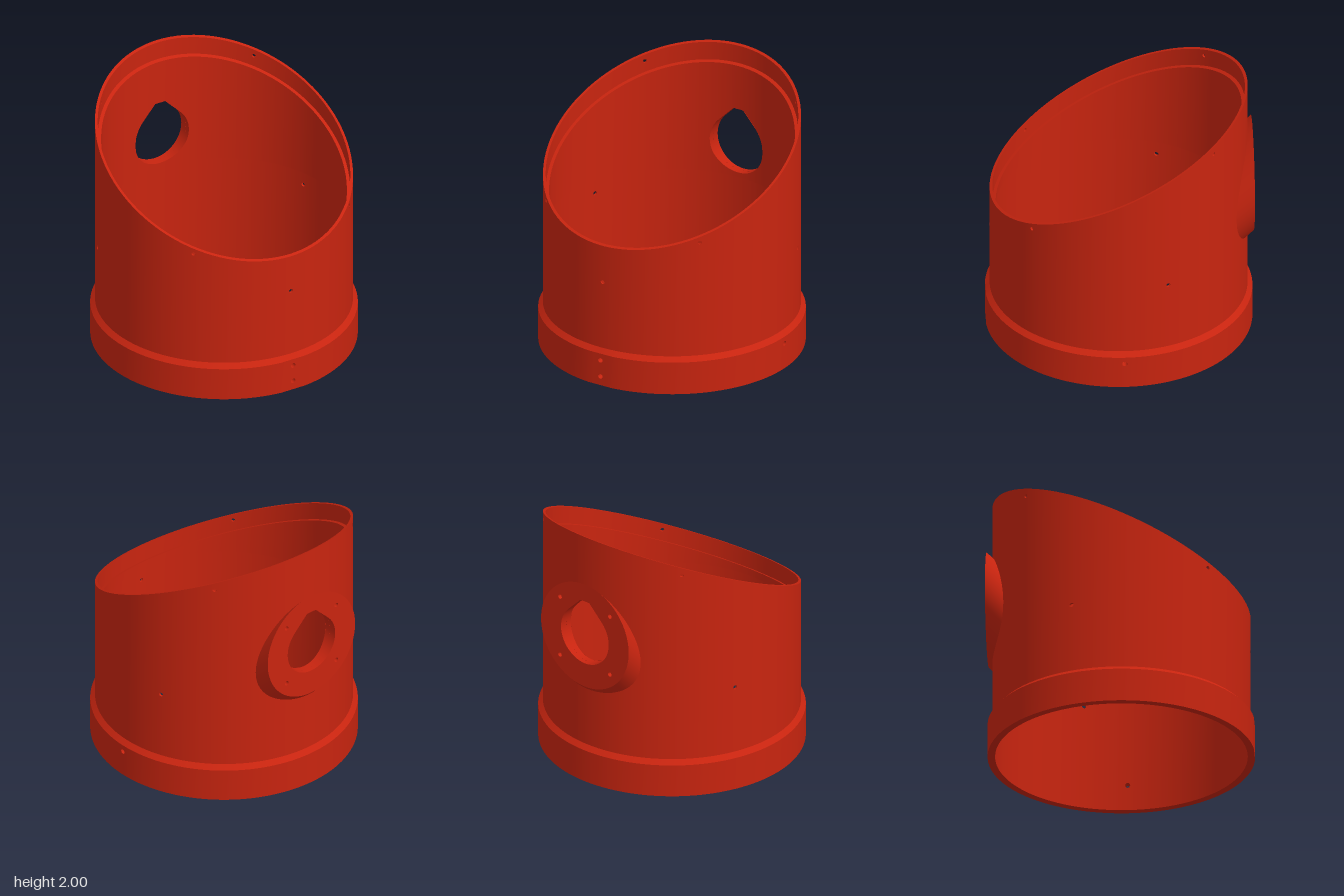
import * as THREE from 'three';
import { toCreasedNormals } from 'three/addons/utils/BufferGeometryUtils.js';

const RED = new THREE.MeshStandardMaterial({ color: 0xc8240f, side: THREE.DoubleSide });
RED.name = 'red';

const OUTER = 0.945, BORE = 0.9, SOCKET = 0.925, BASE = 0.98;
const PORT_Y = 1.207, PORT_R = 0.23, PORT_TOP = 1.49, BOSS_R = 0.4225, BOSS_Z = -0.98;
const deg = Math.PI / 180;

// Slanted top edge: height falls from back to front
const cut = (z) => 1.557 - 0.468 * z;

// Radial screw holes: angle from the front, height, radius, inner and outer wall
const screws = [
  [0, 0.07, 0.02, SOCKET, 0.975], [0, 0.2, 0.02, SOCKET, 0.975], [90, 0.2, 0.02, SOCKET, BASE],
  ...[0, 110, -110].map((a) => [a, 0.82, 0.017, SOCKET, OUTER]),
  ...[45, -45].map((a) => [a, 1.2, 0.015, SOCKET, OUTER]),
  ...[135, -135].map((a) => [a, 1.81, 0.015, SOCKET, OUTER]),
].map(([a, y, r, inner, outer]) => ({ a: a * deg, y, r, inner, outer }));

// Teardrop port: round below, 45 degree roof with a flat tip
const portLow = (x) => PORT_Y - Math.sqrt(Math.max(0, PORT_R ** 2 - x * x));
const portHigh = (x) => Math.abs(x) < PORT_R * Math.SQRT1_2
  ? Math.min(PORT_TOP, PORT_Y + PORT_R * Math.SQRT2 - Math.abs(x))
  : 2 * PORT_Y - portLow(x);

function toGeometry(tris) {
  const g = new THREE.BufferGeometry();
  g.setAttribute('position', new THREE.Float32BufferAttribute(tris.flat(), 3));
  return toCreasedNormals(g, 0.5);
}

function addQuad(out, a, b, c, d) {
  const same = (p, q) => Math.hypot(p[0] - q[0], p[1] - q[1], p[2] - q[2]) < 1e-6;
  for (const t of [[a, b, c], [a, c, d]]) {
    if (!same(t[0], t[1]) && !same(t[1], t[2]) && !same(t[0], t[2])) out.push(...t);
  }
}

// Column angles: even steps plus the edges of every hole
function columnAngles() {
  const list = [];
  for (let i = 0; i <= 120; i++) list.push(-Math.PI + i * 3 * deg);
  for (const s of screws) {
    for (const k of [-1, -0.9, -0.6, 0, 0.6, 0.9, 1]) list.push(s.a + k * s.r / OUTER);
  }
  for (const x of [0.042, 0.1, 0.163, 0.19, 0.21, 0.223, PORT_R]) {
    for (const R of [OUTER, BORE]) {
      const a = Math.PI - Math.asin(x / R);
      list.push(a, -a);
    }
  }
  list.sort((p, q) => p - q);
  return list.filter((a, i) => i === 0 || a - list[i - 1] > 1e-5);
}

// Openings crossed by one column of a vertical wall, as [low, high] height functions
function openings(R, mid, y0, y1) {
  const found = [];
  for (const s of screws) {
    const w = s.r / OUTER;
    const inWall = s.y > Math.min(y0, y1) && s.y < Math.max(y0, y1);
    if (!inWall || Math.abs(mid - s.a) >= w) continue;
    const half = (a) => s.r * Math.sqrt(Math.max(0, 1 - ((a - s.a) / w) ** 2));
    found.push({ y: s.y, low: (a) => s.y - half(a), high: (a) => s.y + half(a) });
  }
  const x = R * Math.sin(mid);
  if (Math.abs(x) < PORT_R && Math.cos(mid) < 0 && (R === OUTER || R === BORE)) {
    found.push({ y: PORT_Y, low: (a) => portLow(R * Math.sin(a)), high: (a) => portHigh(R * Math.sin(a)) });
  }
  return found.sort((p, q) => p.y - q.y);
}

// Closed wall section [radius, height], swept round in columns that leave the holes open
function shellGeometry(section) {
  const angles = columnAngles(), tris = [];
  const height = (h, R, a) => (typeof h === 'function' ? h(R * Math.cos(a)) : h);
  // a narrow flat is cut on the front of the base
  const point = (R, a, y) => [R * Math.sin(a), y, Math.min(0.975, R * Math.cos(a))];
  section.forEach(([R0, h0], k) => {
    const [R1, h1] = section[(k + 1) % section.length];
    for (let i = 0; i + 1 < angles.length; i++) {
      const a = angles[i], b = angles[i + 1], mid = (a + b) / 2;
      let gaps = R0 === R1 ? openings(R0, mid, height(h0, R0, mid), height(h1, R1, mid)) : [];
      const down = height(h1, R1, mid) < height(h0, R0, mid);
      if (down) gaps = gaps.reverse();
      let la = height(h0, R0, a), lb = height(h0, R0, b);
      for (const g of gaps) {
        const [near, far] = down ? [g.high, g.low] : [g.low, g.high];
        addQuad(tris, point(R0, a, la), point(R0, b, lb), point(R0, b, near(b)), point(R0, a, near(a)));
        la = far(a);
        lb = far(b);
      }
      addQuad(tris, point(R0, a, la), point(R0, b, lb),
        point(R1, b, height(h1, R1, b)), point(R1, a, height(h1, R1, a)));
    }
  });
  return toGeometry(tris);
}

// Wall from an outline on the boss face inward to a cylinder of radius R
function inwardWall(points, R, shear) {
  const tris = [];
  const inner = ([x, y]) => {
    const z = -Math.sqrt(R * R - x * x);
    return [x, y - shear * (z - BOSS_Z), z];
  };
  points.forEach((p, i) => {
    const q = points[(i + 1) % points.length];
    addQuad(tris, [...p, BOSS_Z], [...q, BOSS_Z], inner(q), inner(p));
  });
  return toGeometry(tris);
}

function circlePoints(cx, cy, r, n) {
  return Array.from({ length: n }, (_, i) => {
    const t = i / n * 2 * Math.PI;
    return [cx + r * Math.cos(t), cy + r * Math.sin(t)];
  });
}

export function createModel() {
  const model = new THREE.Group();
  const add = (name, geometry, parent = model) => {
    const mesh = new THREE.Mesh(geometry, RED);
    mesh.name = name;
    parent.add(mesh);
    return mesh;
  };

  // Main tube with base collar, slanted rim and stepped bore
  const ledge = (z) => cut(z) - 0.14;
  add('tubeShell', shellGeometry([
    [BASE, 0], [BASE, 0.255], [OUTER, 0.29], [OUTER, cut], [SOCKET, cut],
    [SOCKET, ledge], [BORE, ledge], [BORE, 0.94], [SOCKET, 0.94], [SOCKET, 0],
  ]));

  // Linings of the radial screw holes
  for (const s of screws) {
    const length = s.outer - s.inner - 0.004;
    const g = new THREE.CylinderGeometry(s.r, s.r, length, 12, 1, true);
    g.rotateX(Math.PI / 2).translate(0, 0, (s.inner + s.outer) / 2).rotateY(s.a).translate(0, s.y, 0);
    add('screwHole', g);
  }

  // Rear boss: flat face, 45 degree sheared side and teardrop port
  const boss = new THREE.Group();
  boss.name = 'rearBoss';
  model.add(boss);
  const rim = circlePoints(0, PORT_Y, BOSS_R, 96);
  const port = [];
  for (let i = 0; i <= 36; i++) {
    const t = (135 + i * 7.5) * deg;
    port.push([PORT_R * Math.cos(t), PORT_Y + PORT_R * Math.sin(t)]);
  }
  const tip = PORT_Y + PORT_R * Math.SQRT2 - PORT_TOP;
  port.push([tip, PORT_TOP], [-tip, PORT_TOP]);

  const vectors = (pts) => pts.map(([x, y]) => new THREE.Vector2(x, y));
  const face = new THREE.Shape(vectors(rim));
  face.holes.push(new THREE.Path(vectors(port)));
  for (const sx of [-1, 1]) {
    for (const sy of [-1, 1]) {
      const x = sx * 0.24, y = PORT_Y + sy * 0.24;
      face.holes.push(new THREE.Path(vectors(circlePoints(x, y, 0.018, 12))));
      // blind screw pocket
      const pocket = new THREE.CylinderGeometry(0.018, 0.018, 0.06, 12, 1, true);
      add('bossScrewHole', pocket.rotateX(Math.PI / 2).translate(x, y, BOSS_Z + 0.03), boss);
    }
  }
  add('bossFace', new THREE.ShapeGeometry(face).rotateY(Math.PI).translate(0, 0, BOSS_Z), boss);
  add('bossSide', inwardWall(rim, OUTER, 1), boss);
  add('portLining', inwardWall([...port].reverse(), BORE, 0), boss);

  return model;
}
